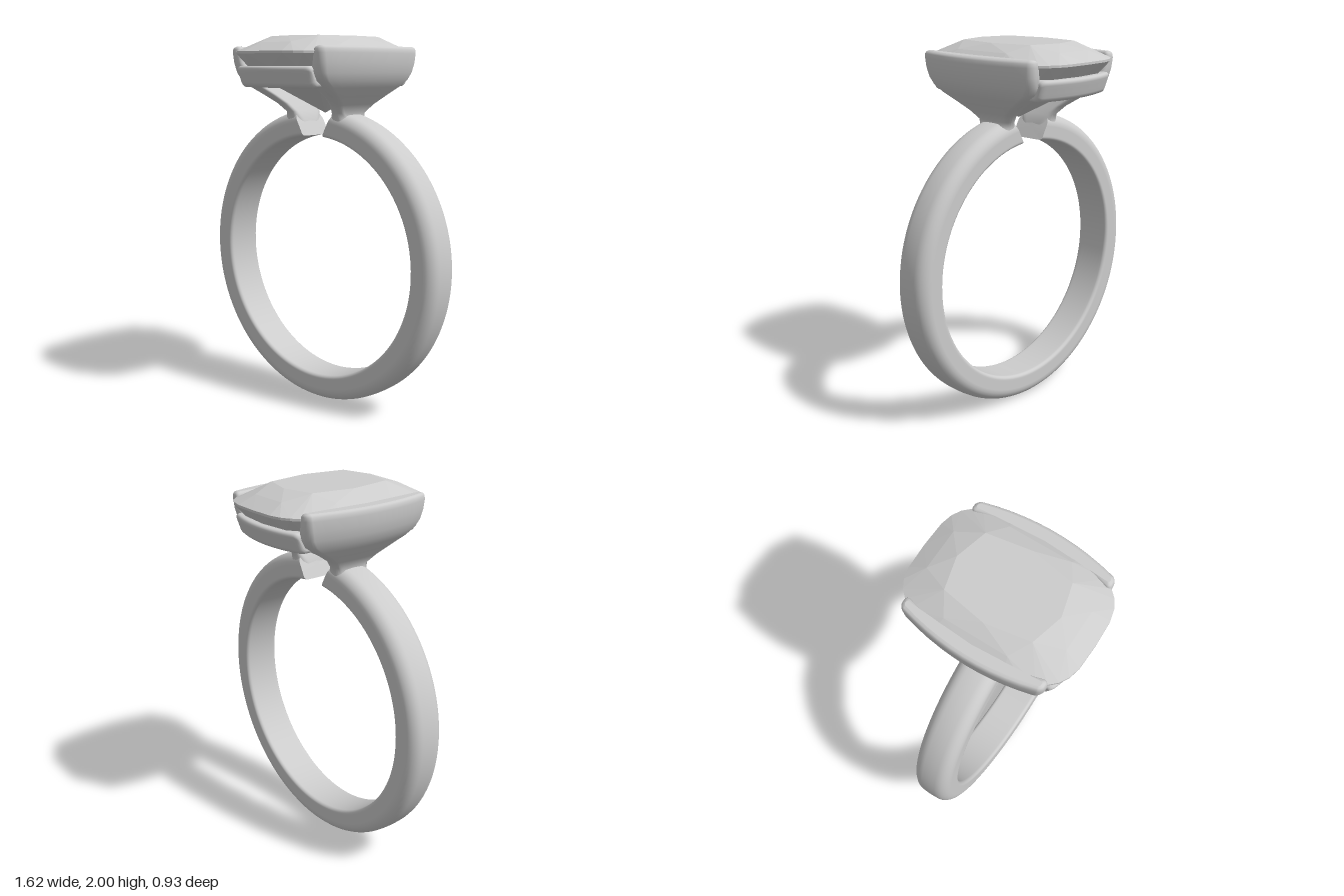
import * as THREE from 'three';
import { ConvexGeometry } from 'three/addons/geometries/ConvexGeometry.js';

// Rounded rectangle outline [u, v]; ro rounds the +u corners, ri the -u corners
function section(a, b, ro, ri = ro, div = 10, arc = 6) {
  const pts = [];
  const corners = [[1, 1, ro], [-1, 1, ri], [-1, -1, ri], [1, -1, ro]];
  corners.forEach(([su, sv, r], k) => {
    for (let i = 0; i <= arc; i++) {
      const t = (k + i / arc) * Math.PI / 2;
      pts.push([su * (a - r) + r * Math.cos(t), sv * (b - r) + r * Math.sin(t)]);
    }
    // subdivide the straight side up to the next corner
    const [nu, nv, nr] = corners[(k + 1) % 4];
    const t = (k + 1) * Math.PI / 2, p = pts[pts.length - 1];
    const q = [nu * (a - nr) + nr * Math.cos(t), nv * (b - nr) + nr * Math.sin(t)];
    for (let i = 1; i < div; i++) pts.push([0, 1].map(c => p[c] + (q[c] - p[c]) * i / div));
  });
  return pts;
}

// Skin a list of closed rings of [x, y, z] points and cap both ends
function loft(rings) {
  const n = rings[0].length, pos = rings.flat(2), idx = [];
  for (let r = 0; r < rings.length - 1; r++) {
    for (let i = 0; i < n; i++) {
      const a = r * n + i, b = r * n + (i + 1) % n;
      idx.push(a, b, b + n, a, b + n, a + n);
    }
  }
  [rings[0], rings[rings.length - 1]].forEach((ring, end) => {
    const base = pos.length / 3;
    const mid = [0, 1, 2].map(c => ring.reduce((s, p) => s + p[c], 0) / n);
    pos.push(...ring.flat(), ...mid);
    for (let i = 0; i < n; i++) {
      const a = base + i, b = base + (i + 1) % n;
      idx.push(...(end ? [a, b, base + n] : [b, a, base + n]));
    }
  });
  // turn the faces outward if the enclosed volume is negative
  let volume = 0;
  const at = i => new THREE.Vector3().fromArray(pos, i * 3);
  for (let i = 0; i < idx.length; i += 3) volume += at(idx[i]).dot(at(idx[i + 1]).cross(at(idx[i + 2])));
  if (volume < 0) idx.reverse();
  const g = new THREE.BufferGeometry();
  g.setAttribute('position', new THREE.Float32BufferAttribute(pos, 3));
  g.setIndex(idx);
  g.computeVertexNormals();
  return g;
}

// Open ring with a slightly domed outside and slanted ends
function bandGeometry() {
  const inner = 0.665, outer = 0.81, steps = 128, rings = [];
  const outline = section((outer - inner) / 2, 0.105, 0.055, 0.02);
  for (let k = 0; k <= steps; k++) {
    rings.push(outline.map(([u, z]) => {
      const f = (u + 0.0725) / 0.145;
      const r = inner + f * 0.145 - f * 0.012 * (z / 0.105) ** 2;
      const start = 0.105 + 0.07 * f;
      const a = start + (2 * Math.PI - 2 * start) * k / steps;
      return [r * Math.sin(a), 0.81 + r * Math.cos(a), z];
    }));
  }
  return loft(rings);
}

// Flared arm that ends in a curved side wall; side is +1 or -1
function armGeometry(side) {
  // height, inner x, outer x, half width in z
  const levels = [
    [1.53, 0.105, 0.25, 0.098], [1.565, 0.115, 0.22, 0.1], [1.6, 0.132, 0.208, 0.108],
    [1.645, 0.162, 0.243, 0.15], [1.69, 0.193, 0.283, 0.22], [1.735, 0.225, 0.325, 0.3],
    [1.77, 0.25, 0.35, 0.35], [1.81, 0.277, 0.367, 0.372], [1.86, 0.3, 0.379, 0.38],
    [1.91, 0.314, 0.383, 0.384], [1.93, 0.318, 0.381, 0.382], [1.94, 0.324, 0.374, 0.376],
    [1.945, 0.336, 0.362, 0.364],
  ];
  return loft(levels.map(([y, xi, xo, hw]) => {
    const a = (xo - xi) / 2;
    return section(a, hw, a * 0.8).map(([u, z]) =>
      [side * ((xi + xo) / 2 + u - 0.057 * (z / 0.38) ** 2), y, z]);
  }));
}

// Bowed rail under each end of the stone
function railGeometry(side) {
  const L = 0.265, rings = [];
  const outline = section(0.04, 0.055, 0.025, 0.02, 3);
  for (let k = 0; k <= 32; k++) {
    const x = -L * Math.cos(Math.PI * k / 32);
    const gap = Math.max(0, 1 - (L - Math.abs(x)) / 0.025);
    const s = 1 - 0.35 * (1 - Math.sqrt(1 - gap * gap));
    rings.push(outline.map(([u, v]) =>
      [x, 1.79 + v * s, side * (0.397 + u * s + 0.35 * v - 0.05 * (x / L) ** 2)]));
  }
  return loft(rings);
}

// Faceted cushion-cut stone
function stoneGeometry() {
  const pts = [];
  const ring = (n, y, scale) => {
    for (let i = 0; i < n; i++) {
      const a = i / n * Math.PI * 2, c = Math.cos(a), s = Math.sin(a), e = 2 / 3.6;
      pts.push(new THREE.Vector3(
        0.335 * scale * Math.sign(c) * Math.abs(c) ** e, y,
        0.467 * scale * Math.sign(s) * Math.abs(s) ** e));
    }
  };
  // table corners and crown corners
  for (const s of [-1, 1]) {
    pts.push(new THREE.Vector3(0, 2, s * 0.28), new THREE.Vector3(s * 0.21, 2, 0));
    for (const t of [-1, 1]) {
      pts.push(new THREE.Vector3(s * 0.17, 2, t * 0.235));
      pts.push(new THREE.Vector3(s * 0.11, 1.965, t * 0.375));
      pts.push(new THREE.Vector3(s * 0.275, 1.963, t * 0.17));
    }
  }
  // girdle, pavilion and point
  ring(32, 1.92, 1);
  ring(32, 1.908, 1);
  ring(16, 1.84, 0.875);
  ring(16, 1.735, 0.55);
  pts.push(new THREE.Vector3(0, 1.595, 0));
  return new ConvexGeometry(pts);
}

export function createModel() {
  const grey = new THREE.MeshStandardMaterial({ color: 0xcccccc });
  grey.name = 'pale grey';
  const model = new THREE.Group();
  model.name = 'ring';
  const add = (name, geometry) => {
    const mesh = new THREE.Mesh(geometry, grey);
    mesh.name = name;
    model.add(mesh);
  };

  add('band', bandGeometry());
  add('leftArm', armGeometry(1));
  add('rightArm', armGeometry(-1));
  add('frontRail', railGeometry(1));
  add('backRail', railGeometry(-1));
  add('stone', stoneGeometry());
  return model;
}
